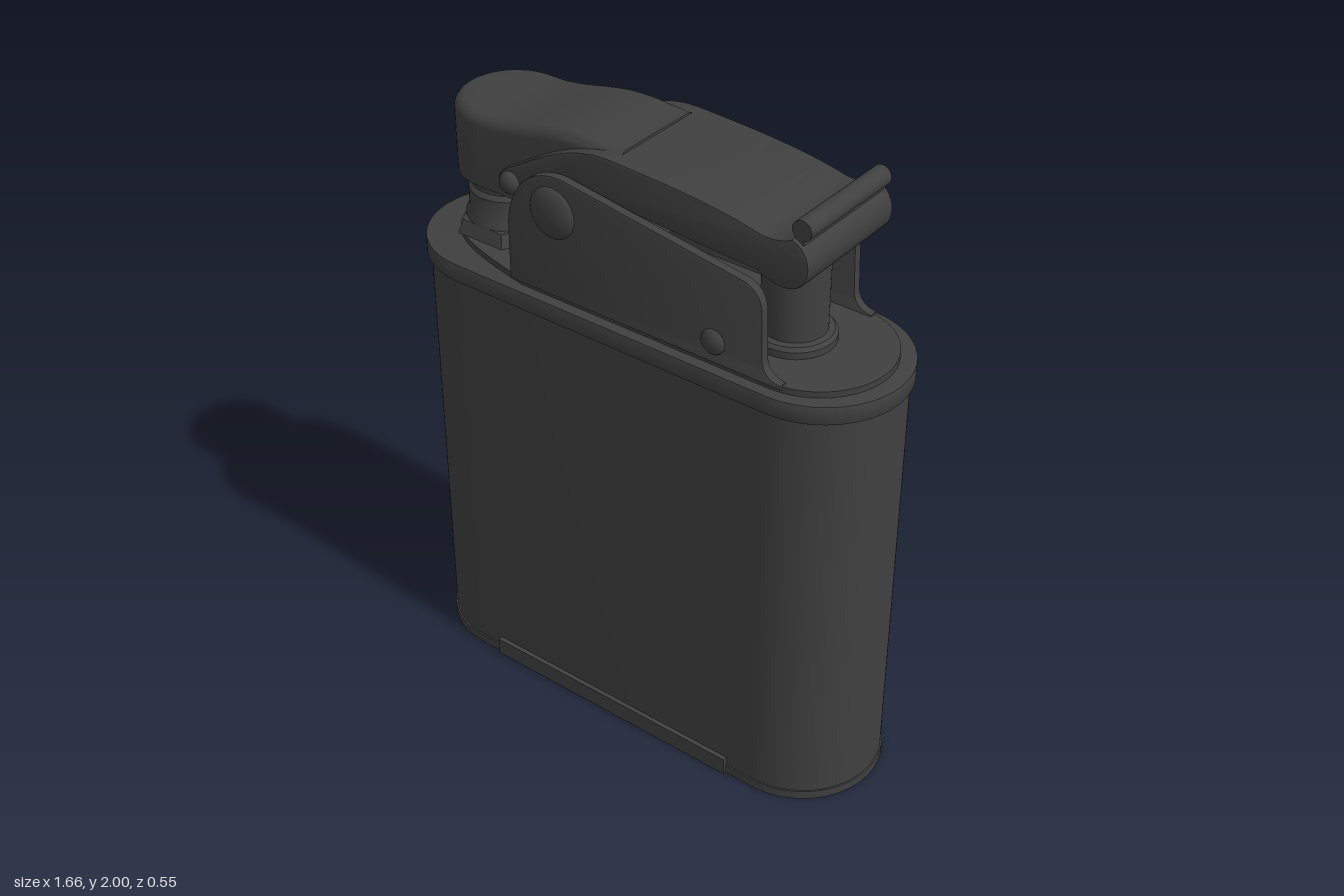
import * as THREE from 'three';
import { toCreasedNormals } from 'three/addons/utils/BufferGeometryUtils.js';

const material = new THREE.MeshStandardMaterial({ color: 0x404040 });

export function createModel() {
  const model = new THREE.Group();

  const add = (name, geometry, x = 0, y = 0, z = 0) => {
    const mesh = new THREE.Mesh(geometry, material);
    mesh.name = name;
    mesh.position.set(x, y, z);
    model.add(mesh);
    return mesh;
  };
  const crease = (g, angle = 0.6) => toCreasedNormals(g, angle);

  // Plan outline with two round ends
  const stadium = (halfLength, r) => {
    const c = halfLength - r;
    const s = new THREE.Shape();
    s.absarc(c, 0, r, -Math.PI / 2, Math.PI / 2);
    s.absarc(-c, 0, r, Math.PI / 2, Math.PI * 1.5);
    s.closePath();
    return s;
  };
  // Plan shape raised from y0 to y1
  const slab = (name, shape, y0, y1, bevel = 0) => {
    const g = new THREE.ExtrudeGeometry(shape, {
      depth: y1 - y0 - 2 * bevel, curveSegments: 32,
      bevelEnabled: bevel > 0, bevelSize: bevel, bevelThickness: bevel,
      bevelOffset: -bevel, bevelSegments: 2,
    });
    g.rotateX(-Math.PI / 2);
    return add(name, crease(g), 0, y0 + bevel, 0);
  };
  // Side profile extruded across z, starting at z0
  const sideExtrude = (name, shape, z0, depth, bevel = 0.005) => {
    const g = new THREE.ExtrudeGeometry(shape, {
      depth: depth - 2 * bevel, curveSegments: 20, bevelSize: bevel,
      bevelThickness: bevel, bevelOffset: -bevel, bevelSegments: 2,
    });
    return add(name, crease(g), 0, 0, z0 + bevel);
  };
  const lathe = (name, points, x, y) =>
    add(name, crease(new THREE.LatheGeometry(points.map(p => new THREE.Vector2(...p)), 40)), x, y, 0);

  // Tank, base and rim
  slab('tank', stadium(0.815, 0.26), 0.03, 1.43);
  slab('base', stadium(0.82, 0.265), 0, 0.03);
  slab('rim', stadium(0.83, 0.27), 1.42, 1.48, 0.004);
  add('baseStrip', new THREE.BoxGeometry(0.93, 0.06, 0.55), -0.005, 0.031, 0);

  // Deck plate, tapered towards the burner
  const deck = new THREE.Shape();
  deck.absarc(0.545, 0, 0.235, -Math.PI / 2, Math.PI / 2);
  deck.lineTo(-0.33, 0.235);
  deck.bezierCurveTo(-0.55, 0.19, -0.72, 0.15, -0.73, 0);
  deck.bezierCurveTo(-0.72, -0.15, -0.55, -0.19, -0.33, -0.235);
  deck.closePath();
  slab('deckPlate', deck, 1.47, 1.5);

  // Burner: hexagonal nut, wick tube and snuffer collar
  const nut = new THREE.CylinderGeometry(0.155, 0.172, 0.045, 6).toNonIndexed();
  nut.rotateY(Math.PI / 6);
  nut.computeVertexNormals();
  add('burnerNut', nut, -0.57, 1.52, 0);
  lathe('burner', [[0, 0], [0.137, 0], [0.137, 0.05], [0.126, 0.07], [0.126, 0.135],
    [0.115, 0.15], [0.115, 0.23], [0, 0.23]], -0.57, 1.5);

  // Rear post
  lathe('post', [[0, 0], [0.125, 0], [0.125, 0.022], [0.115, 0.033], [0.097, 0.036],
    [0.097, 0.26], [0.107, 0.27], [0.107, 0.285], [0, 0.285]], 0.47, 1.5);

  // Side brackets and their rivets
  const bracket = new THREE.Shape();
  bracket.moveTo(-0.37, 1.49);
  bracket.lineTo(-0.37, 1.68);
  bracket.bezierCurveTo(-0.36, 1.79, -0.29, 1.89, -0.16, 1.882);
  bracket.lineTo(0.46, 1.79);
  bracket.quadraticCurveTo(0.525, 1.775, 0.525, 1.7);
  bracket.lineTo(0.53, 1.56);
  bracket.quadraticCurveTo(0.535, 1.51, 0.59, 1.505);
  bracket.lineTo(0.59, 1.49);
  bracket.closePath();
  const rivet = (name, r, height, x, y, z, side) => {
    const dome = new THREE.SphereGeometry(r, 28, 10, 0, Math.PI * 2, 0, Math.PI / 2);
    dome.scale(1, height / r, 1);
    dome.rotateX(side * Math.PI / 2);
    add(name, dome, x, y, side * z);
  };
  for (const side of [1, -1]) {
    sideExtrude('sideBracket', bracket, side > 0 ? 0.21 : -0.24, 0.03);
    rivet('pivotRivet', 0.082, 0.03, -0.2, 1.765, 0.235, side);
    rivet('bracketRivet', 0.04, 0.022, 0.365, 1.56, 0.238, side);
    rivet('capRivet', 0.036, 0.025, -0.385, 1.785, 0.204, side);
  }

  // Lever arm with a rolled thumb end
  const arm = new THREE.Shape();
  arm.moveTo(-0.42, 1.75);
  arm.quadraticCurveTo(-0.445, 1.79, -0.41, 1.82);
  arm.bezierCurveTo(-0.3, 1.88, -0.18, 1.98, -0.02, 1.976);
  arm.bezierCurveTo(0.2, 1.968, 0.36, 1.955, 0.48, 1.925);
  arm.quadraticCurveTo(0.53, 1.915, 0.585, 1.942);
  arm.bezierCurveTo(0.66, 1.92, 0.66, 1.79, 0.56, 1.788);
  arm.quadraticCurveTo(0.51, 1.79, 0.48, 1.81);
  arm.lineTo(-0.15, 1.85);
  arm.quadraticCurveTo(-0.3, 1.84, -0.36, 1.75);
  arm.closePath();
  sideExtrude('leverArm', arm, -0.204, 0.408);
  add('innerBlock', new THREE.BoxGeometry(0.38, 0.22, 0.35), -0.19, 1.755, 0);

  // Thumb bar along the lever end
  const bar = new THREE.CylinderGeometry(0.031, 0.031, 0.38, 20);
  bar.rotateX(Math.PI / 2);
  add('thumbBar', bar, 0.605, 1.969, 0);
  add('thumbBarNeck', new THREE.BoxGeometry(0.026, 0.05, 0.38), 0.6, 1.935, 0);

  add('snufferCap', crease(capGeometry(), 0.7));
  return model;
}

// Snuffer cap: plan rings with one round end, stacked and rounded over to a curved top
function capGeometry() {
  const R = 0.175, cx = -0.54, end = -0.01, bottom = 1.71, round = 0.038;
  const top = x => {
    const t = THREE.MathUtils.smoothstep(x, -0.5, -0.18);
    return 1.945 + 0.046 * t - 0.008 * THREE.MathUtils.smoothstep(x, -0.17, 0);
  };
  const outline = inset => {
    const r = R - inset, pts = [];
    for (let i = 0; i <= 24; i++) pts.push([end + (cx - end) * i / 24, r]);
    for (let i = 1; i < 24; i++) {
      const a = Math.PI / 2 + Math.PI * i / 24;
      pts.push([cx + r * Math.cos(a), r * Math.sin(a)]);
    }
    for (let i = 24; i >= 0; i--) pts.push([end + (cx - end) * i / 24, -r]);
    return pts;
  };
  const rings = [
    outline(0).map(([x]) => [x, bottom, 0]),
    outline(0).map(([x, z]) => [x, bottom, z]),
  ];
  for (let k = 0; k <= 6; k++) {
    const a = k / 6 * Math.PI / 2;
    rings.push(outline(round * (1 - Math.cos(a))).map(([x, z]) =>
      [x, top(x) - round * (1 - Math.sin(a)), z]));
  }
  rings.push(outline(round).map(([x]) => [x, top(x), 0]));

  const n = rings[0].length, index = [];
  for (let k = 0; k < rings.length - 1; k++) {
    for (let i = 0; i < n; i++) {
      const j = (i + 1) % n;
      const a = k * n + i, b = k * n + j, c = a + n, d = b + n;
      index.push(a, c, b, b, c, d);
    }
  }
  const g = new THREE.BufferGeometry();
  g.setAttribute('position', new THREE.Float32BufferAttribute(rings.flat(2), 3));
  g.setIndex(index);
  return orient(g);
}

// Turns the faces outwards if the enclosed volume comes out negative
function orient(g) {
  const p = g.attributes.position, idx = g.index.array;
  const [a, b, c] = [0, 1, 2].map(() => new THREE.Vector3());
  let volume = 0;
  for (let i = 0; i < idx.length; i += 3) {
    a.fromBufferAttribute(p, idx[i]);
    b.fromBufferAttribute(p, idx[i + 1]);
    c.fromBufferAttribute(p, idx[i + 2]);
    volume += a.dot(b.cross(c));
  }
  if (volume < 0) for (let i = 0; i < idx.length; i += 3) [idx[i], idx[i + 1]] = [idx[i + 1], idx[i]];
  g.computeVertexNormals();
  return g;
}
